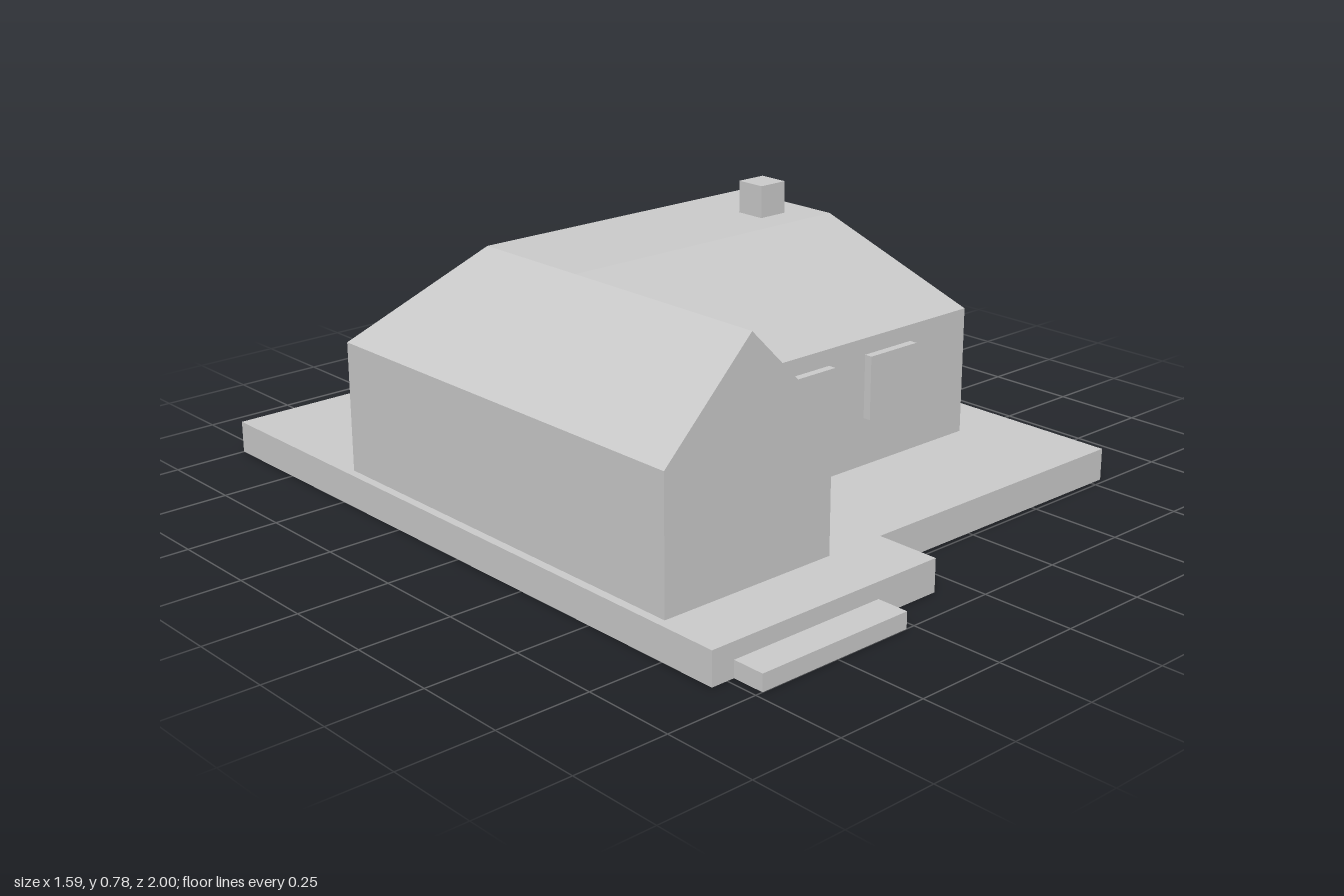
import * as THREE from 'three';

const mat = new THREE.MeshStandardMaterial({ color: 0xcccccc, flatShading: true });

export function createModel() {
  const house = new THREE.Group();
  house.name = 'house';

  const add = (name, geometry) => {
    const mesh = new THREE.Mesh(geometry, mat);
    mesh.name = name;
    house.add(mesh);
  };

  // Box given by its extents on each axis
  const box = (name, [x0, x1], [y0, y1], [z0, z1]) =>
    add(name, new THREE.BoxGeometry(x1 - x0, y1 - y0, z1 - z0)
      .translate((x0 + x1) / 2, (y0 + y1) / 2, (z0 + z1) / 2));

  // Upright prism over a floor plan of [x, z] corners
  const prism = (name, plan, y0, y1) => {
    const shape = new THREE.Shape(plan.map(([x, z]) => new THREE.Vector2(x, -z)));
    add(name, new THREE.ExtrudeGeometry(shape, { depth: y1 - y0, bevelEnabled: false })
      .rotateX(-Math.PI / 2).translate(0, y0, 0));
  };

  // Flat convex panel, corners counter-clockwise from outside
  const panel = (name, ...corners) => {
    const points = [];
    for (let i = 1; i < corners.length - 1; i++) points.push(...corners[0], ...corners[i], ...corners[i + 1]);
    const g = new THREE.BufferGeometry();
    g.setAttribute('position', new THREE.Float32BufferAttribute(points, 3));
    g.computeVertexNormals();
    add(name, g);
  };

  const deckY = 0.088, eaveY = 0.438, ridgeY = 0.697;
  const L = -0.772, R = 0.615, back = -0.48, front = 0.387; // main wall lines
  const wingR = -0.255, wingF = 0.735;                      // front wing

  // Terrace and entrance step
  prism('terrace', [
    [-0.795, -1], [-0.08, -1], [-0.08, -0.828], [0.615, -0.828], [0.615, -0.653], [0.79, -0.653],
    [0.79, 0.735], [-0.08, 0.735], [-0.08, 0.912], [-0.795, 0.912],
  ], 0, deckY);
  box('entranceStep', [-0.73, -0.275], [0, 0.044], [0.912, 1]);

  // L-shaped walls
  prism('walls', [[L, back], [R, back], [R, front], [wingR, front], [wingR, wingF], [L, wingF]], deckY, eaveY);

  // Roof: flat top on the main body, hips around it, ridge over the wing
  const e = (x, z) => [x, eaveY, z];
  const t = (x, z) => [x, ridgeY, z];
  const tL = -0.513, tR = 0.357, tB = -0.22, tF = 0.127;
  panel('roofTop', t(tL, tF), t(tR, tF), t(tR, tB), t(tL, tB));
  panel('roofBack', e(R, back), e(L, back), t(tL, tB), t(tR, tB));
  panel('roofRight', e(R, front), e(R, back), t(tR, tB), t(tR, tF));
  panel('roofFront', e(wingR, front), e(R, front), t(tR, tF), t(tL, tF));
  panel('roofLeft', e(L, back), e(L, wingF), t(tL, wingF), t(tL, tB));
  panel('wingRoofRight', e(wingR, wingF), e(wingR, front), t(tL, tF), t(tL, wingF));
  panel('wingGable', e(L, wingF), e(wingR, wingF), t(tL, wingF));

  // Chimney
  box('chimney', [0.185, 0.27], [0.66, 0.783], [-0.04, 0.044]);

  // Windows standing proud of the walls
  const sill = [0.22, 0.393], proud = 0.022;
  for (const x of [[-0.077, 0.095], [0.228, 0.4]]) box('frontWindow', x, sill, [front - 0.02, front + proud]);
  for (const x of [[-0.47, -0.295], [-0.165, 0.18], [0.313, 0.487]]) box('backWindow', x, sill, [back - proud, back + 0.02]);
  box('sideWindow', [R - 0.02, R + proud], sill, [-0.02, 0.153]);

  return house;
}
